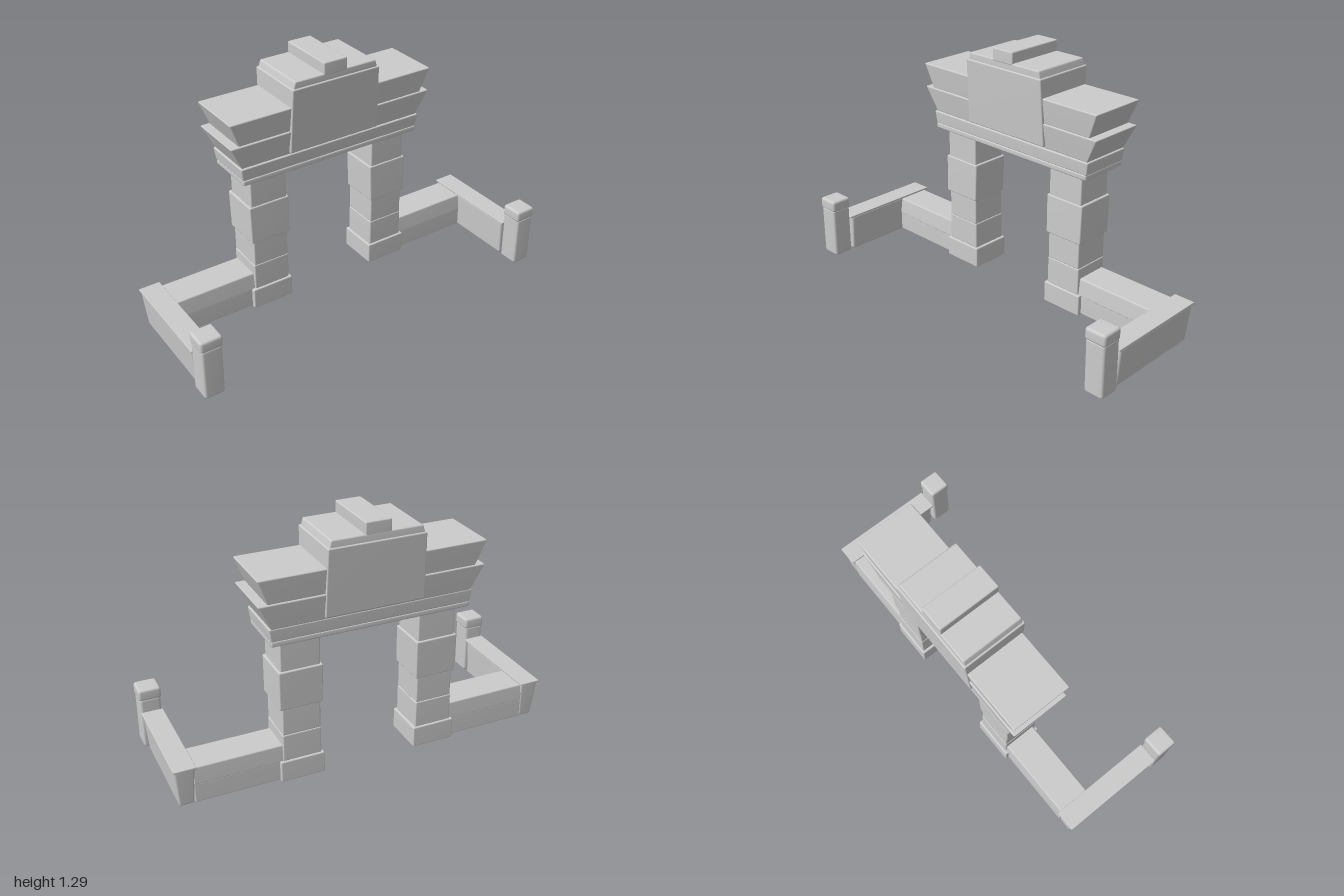
import * as THREE from 'three';
import { mergeVertices } from 'three/addons/utils/BufferGeometryUtils.js';
import { RoundedBoxGeometry } from 'three/addons/geometries/RoundedBoxGeometry.js';

const stone = new THREE.MeshStandardMaterial({ color: 0xcccccc });

// Worn stone block; bottom and top are [x0, x1, z0, z1] footprints at y0 and y1
function block(parent, name, y0, y1, bottom, top = bottom, radius = 0.007) {
  const geo = new RoundedBoxGeometry(1, y1 - y0, 1, 2, 0);
  const w = (bottom[1] - bottom[0] + top[1] - top[0]) / 2;
  const d = (bottom[3] - bottom[2] + top[3] - top[2]) / 2;
  const h = y1 - y0;
  geo.dispose();
  let g = new RoundedBoxGeometry(w, h, d, 2, Math.min(radius, h * 0.3));
  g.deleteAttribute('normal');
  g.deleteAttribute('uv');
  g = mergeVertices(g, 1e-5);
  const p = g.attributes.position;
  const mix = THREE.MathUtils.lerp;
  for (let i = 0; i < p.count; i++) {
    const u = p.getX(i) / w + 0.5, t = p.getY(i) / h + 0.5, v = p.getZ(i) / d + 0.5;
    p.setXYZ(i,
      mix(mix(bottom[0], top[0], t), mix(bottom[1], top[1], t), u),
      mix(y0, y1, t),
      mix(mix(bottom[2], top[2], t), mix(bottom[3], top[3], t), v));
  }
  g.computeVertexNormals();
  const mesh = new THREE.Mesh(g, stone);
  mesh.name = name;
  parent.add(mesh);
}

// Same block, reversed across x for the other side of the gate
const flip = ([x0, x1, z0, z1], s) => (s > 0 ? [x0, x1, z0, z1] : [-x1, -x0, z0, z1]);

function addSide(root, s) {
  const label = s > 0 ? 'left' : 'right';
  const group = (name) => {
    const g = new THREE.Group();
    g.name = label + name;
    root.add(g);
    return g;
  };
  const add = (g, name, y0, y1, b, t = b, r) => block(g, name, y0, y1, flip(b, s), flip(t, s), r);

  // Pier of stacked stones
  const pier = group('Pier');
  add(pier, 'pierBase', 0.005, 0.118, [0.245, 0.473, -0.31, -0.09]);
  add(pier, 'pierLowerStone', 0.115, 0.26, [0.258, 0.457, -0.3, -0.1]);
  add(pier, 'pierSecondStone', 0.258, 0.405, [0.26, 0.455, -0.298, -0.1]);
  add(pier, 'pierWideStone', 0.4, 0.605, [0.251, 0.468, -0.304, -0.09], [0.247, 0.47, -0.308, -0.094]);
  add(pier, 'pierTopStone', 0.6, 0.765, [0.258, 0.458, -0.298, -0.1]);

  // Low back wall in two courses
  const wall = group('BackWall');
  add(wall, 'wallLowerCourse', 0.01, 0.115, [0.45, 0.9, -0.292, -0.112]);
  add(wall, 'wallUpperCourse', 0.11, 0.203, [0.45, 0.9, -0.295, -0.108], [0.45, 0.9, -0.29, -0.118]);

  // Wing wall reaching forward, with a thin coping
  const wing = group('WingWall');
  add(wing, 'wingWall', 0.005, 0.208, [0.9, 0.975, -0.288, 0.243], [0.89, 0.993, -0.3, 0.245], 0.012);
  add(wing, 'wingCoping', 0.204, 0.215, [0.886, 0.996, -0.308, 0.258]);

  // End post
  const post = group('EndPost');
  add(post, 'postShaft', 0.008, 0.285, [0.892, 0.997, 0.261, 0.37], [0.89, 0.996, 0.261, 0.37], 0.014);
  add(post, 'postCap', 0.275, 0.337, [0.885, 1.0, 0.259, 0.372], undefined, 0.014);
}

export function createModel() {
  const root = new THREE.Group();
  root.name = 'stoneGate';
  addSide(root, 1);
  addSide(root, -1);

  // Lintel and flaring cornices across both piers
  const top = new THREE.Group();
  top.name = 'gateTop';
  root.add(top);
  const sym = (x, z0, z1) => [-x, x, z0, z1];
  block(top, 'lintelLowerSlab', 0.76, 0.788, sym(0.51, -0.336, -0.062));
  block(top, 'lintelUpperSlab', 0.785, 0.853, sym(0.512, -0.335, -0.065), sym(0.521, -0.34, -0.06));
  block(top, 'lowerCornice', 0.85, 0.98, sym(0.51, -0.34, -0.07), sym(0.575, -0.355, -0.05));
  block(top, 'upperCornice', 0.976, 1.105, sym(0.525, -0.346, -0.06), sym(0.575, -0.36, -0.045));

  // Central raised block, cap and ridge stone
  block(top, 'centreBlock', 0.86, 1.2, sym(0.254, -0.353, -0.052), sym(0.246, -0.37, -0.03));
  block(top, 'centreCap', 1.19, 1.235, sym(0.24, -0.363, -0.038), sym(0.228, -0.36, -0.038));
  block(top, 'ridgeStone', 1.225, 1.292, [-0.07, 0.062, -0.36, -0.036]);
  return root;
}
